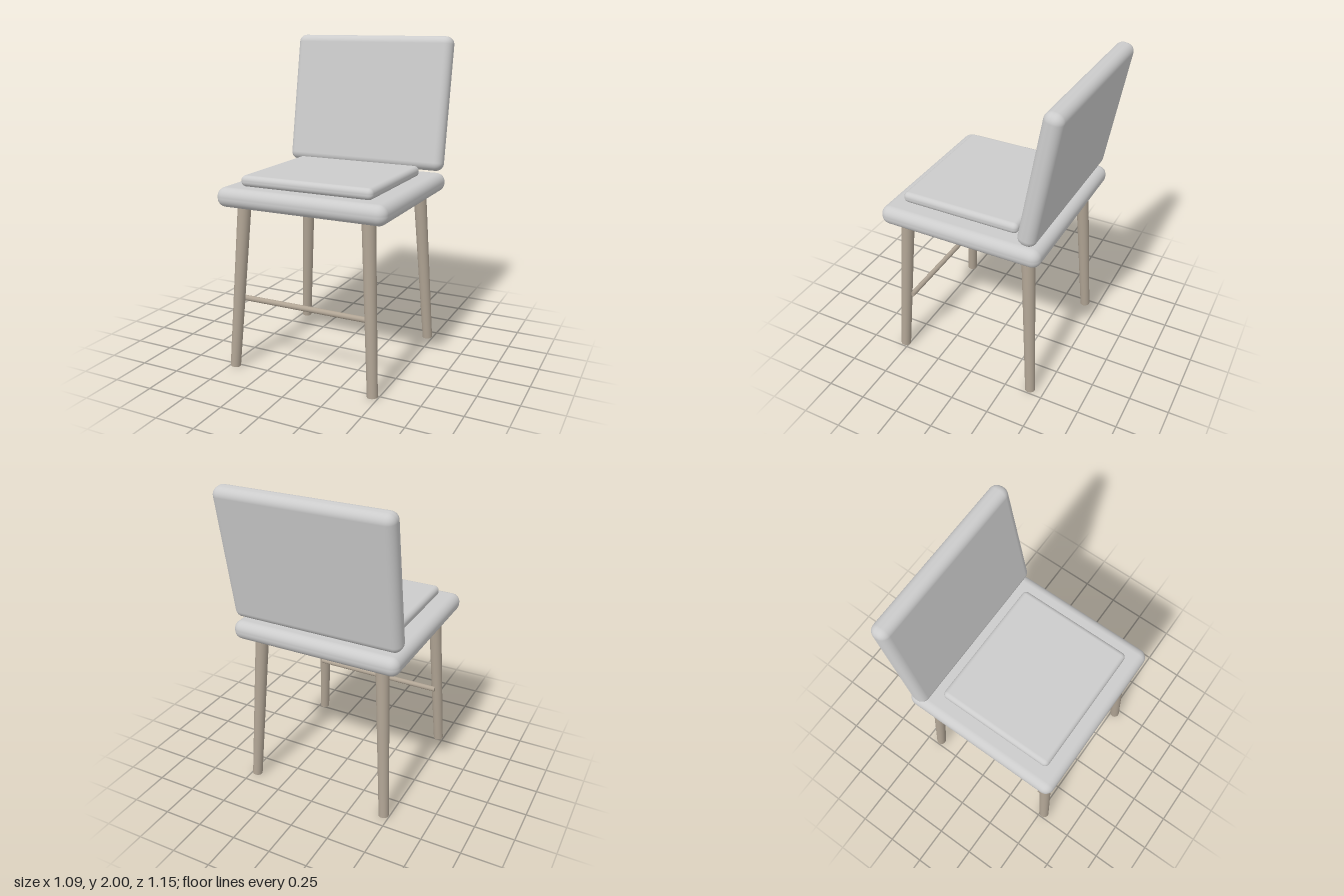
import * as THREE from 'three';
import { RoundedBoxGeometry } from 'three/addons/geometries/RoundedBoxGeometry.js';

export function createModel() {
  const chair = new THREE.Group();
  chair.name = 'chair';
  const grey = new THREE.MeshStandardMaterial({ color: 0xcccccc });
  const wood = new THREE.MeshStandardMaterial({ color: 0xb0a494 });

  const slab = (name, [w, h, d], radius, [x, y, z]) => {
    const mesh = new THREE.Mesh(new RoundedBoxGeometry(w, h, d, 5, radius), grey);
    mesh.name = name;
    mesh.position.set(x, y, z);
    chair.add(mesh);
    return mesh;
  };

  // Round bar running from one point to another, with its own end radii
  const bar = (name, from, to, rFrom, rTo) => {
    const dir = to.clone().sub(from);
    const mesh = new THREE.Mesh(new THREE.CylinderGeometry(rTo, rFrom, dir.length(), 20), wood);
    mesh.name = name;
    mesh.position.copy(from).addScaledVector(dir, 0.5);
    mesh.quaternion.setFromUnitVectors(new THREE.Vector3(0, 1, 0), dir.normalize());
    chair.add(mesh);
  };

  // Seat, cushion and tilted backrest
  slab('seat', [1.09, 0.12, 1.045], 0.055, [0, 1.08, 0.052]);
  slab('cushion', [0.854, 0.068, 0.76], 0.03, [0, 1.172, 0.095]);
  slab('backrest', [1.09, 0.85, 0.115], 0.05, [0, 1.58, -0.452]).rotation.x = -0.175;

  // Splayed, tapering legs
  for (const [side, s] of [['left', 1], ['right', -1]]) {
    for (const [end, zFoot, zTop] of [['Front', 0.525, 0.462], ['Back', -0.41, -0.35]]) {
      bar(`${side}${end}Leg`, new THREE.Vector3(0.465 * s, 0.003, zFoot),
        new THREE.Vector3(0.405 * s, 1.03, zTop), 0.032, 0.041);
    }
  }

  // Rail just behind the front legs
  bar('frontStretcher', new THREE.Vector3(-0.44, 0.435, 0.457),
    new THREE.Vector3(0.44, 0.435, 0.457), 0.017, 0.017);

  return chair;
}
